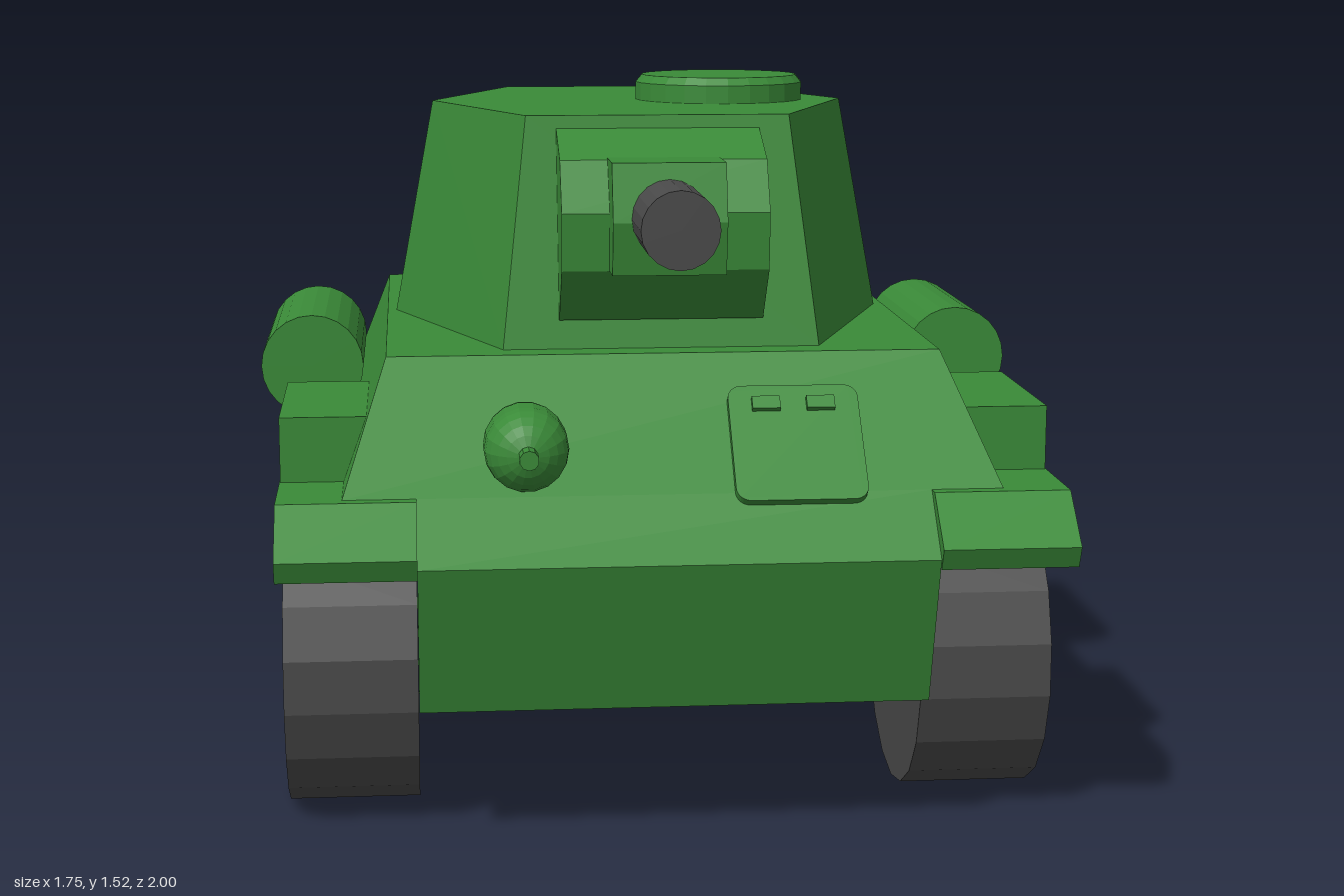
import * as THREE from 'three';
import { ConvexGeometry } from 'three/addons/geometries/ConvexGeometry.js';

const green = new THREE.MeshStandardMaterial({ color: 0x3a8a38, flatShading: true });
const dark = new THREE.MeshStandardMaterial({ color: 0x4a4a4a, flatShading: true });

export function createModel() {
  const model = new THREE.Group();

  const add = (name, geometry, x = 0, y = 0, z = 0, material = green, parent = model) => {
    const mesh = new THREE.Mesh(geometry, material);
    mesh.name = name;
    mesh.position.set(x, y, z);
    parent.add(mesh);
    return mesh;
  };

  // Side profile of [z, y] points, extruded across x and centred
  const sideExtrude = (points, width) => {
    const shape = new THREE.Shape(points.map(([z, y]) => new THREE.Vector2(z, y)));
    return new THREE.ExtrudeGeometry(shape, { depth: width, bevelEnabled: false })
      .translate(0, 0, -width / 2).rotateY(-Math.PI / 2);
  };

  // Tapered solid between two rings of [x, z] points
  const taper = (low, y0, high, y1) => new ConvexGeometry([
    ...low.map(([x, z]) => new THREE.Vector3(x, y0, z)),
    ...high.map(([x, z]) => new THREE.Vector3(x, y1, z)),
  ]);

  const rect = (x, front, back) => [[x, front], [-x, front], [-x, back], [x, back]];
  const hexagon = (xMid, xEnd, front, back) => [
    [xMid, -0.05], [xEnd, front], [-xEnd, front], [-xMid, -0.05], [-xEnd, back], [xEnd, back]];
  const cylinderX = (r, w, n) => new THREE.CylinderGeometry(r, r, w, n).rotateZ(Math.PI / 2);
  const cylinderZ = (r, len, n) => new THREE.CylinderGeometry(r, r, len, n).rotateX(Math.PI / 2);

  // Hull
  add('lowerHull', sideExtrude([[0.88, 0.29], [0.98, 0.61], [0.866, 0.73],
    [-0.89, 0.73], [-0.98, 0.635], [-0.81, 0.29]], 1.044));
  add('upperHull', taper(rect(0.67, 0.866, -0.89), 0.73, rect(0.58, 0.63, -0.675), 0.98));

  // Turret with round roof hatch
  add('turret', taper(hexagon(0.56, 0.335, 0.56, -0.655), 0.98,
    hexagon(0.47, 0.28, 0.46, -0.552), 1.463));
  const hatchProfile = [[0, 0], [0.192, 0], [0.192, 0.043], [0.178, 0.06], [0, 0.06]];
  add('roofHatch', new THREE.LatheGeometry(
    hatchProfile.map(([r, y]) => new THREE.Vector2(r, y)), 24), 0.19, 1.46, -0.06);

  // Gun mount and barrel
  add('gunMantlet', sideExtrude([[0.4, 1.04], [0.552, 1.04], [0.645, 1.155],
    [0.655, 1.275], [0.595, 1.38], [0.46, 1.438], [0.4, 1.438]], 0.432));
  add('gunCollar', sideExtrude([[0.5, 1.155], [0.724, 1.155], [0.746, 1.265],
    [0.712, 1.384], [0.5, 1.384]], 0.234));
  add('gunBarrel', cylinderZ(0.079, 0.3, 20), 0, 1.272, 0.797, dark);

  // Headlamp
  add('headlamp', new THREE.CapsuleGeometry(0.086, 0.06, 6, 18).rotateX(Math.PI / 2), -0.3, 0.823, 0.815);
  add('headlampTip', cylinderZ(0.02, 0.07, 10), -0.3, 0.825, 0.937);

  // Driver hatch lying on the sloped front plate
  const hatch = new THREE.Group();
  hatch.name = 'driverHatch';
  hatch.position.set(0.255, 0.808, 0.79);
  hatch.rotation.x = -0.757;
  model.add(hatch);
  const w = 0.135, h = 0.138, r = 0.03;
  const panel = new THREE.Shape();
  panel.absarc(w - r, h - r, r, 0, Math.PI / 2);
  panel.absarc(r - w, h - r, r, Math.PI / 2, Math.PI);
  panel.absarc(r - w, r - h, r, Math.PI, Math.PI * 1.5);
  panel.absarc(w - r, r - h, r, Math.PI * 1.5, Math.PI * 2);
  add('hatchPanel', new THREE.ExtrudeGeometry(panel,
    { depth: 0.035, bevelEnabled: false, curveSegments: 4 }), 0, 0, -0.015, green, hatch);
  for (const x of [-0.058, 0.055]) {
    add('hatchVisor', new THREE.BoxGeometry(0.058, 0.03, 0.02), x, 0.09, 0.022, green, hatch);
  }

  for (const side of [1, -1]) {
    // Fender with turned-down ends
    add('fender', sideExtrude([[1, 0.635], [0.895, 0.73], [-0.91, 0.73], [-1, 0.64],
      [-0.975, 0.59], [-0.885, 0.675], [0.875, 0.675], [0.98, 0.59]], 0.28), side * 0.662);
    add('toolBox', new THREE.BoxGeometry(0.2, 0.145, 0.43), side * 0.7, 0.793, 0.47);
    add('fuelDrum', cylinderZ(0.118, 0.51, 24), side * 0.757, 0.849, -0.315);

    // Wheels
    for (const z of [0.47, -0.455]) {
      add('wheel', cylinderX(0.324, 0.276, 18).rotateX(Math.PI / 2), side * 0.661, 0.32, z, dark);
    }

    // Grab rail on the sloped rear plate, with rounded ends bent into the hull
    const path = new THREE.CatmullRomCurve3([[0.88, -0.705], [0.925, -0.745], [0.905, -0.78],
      [0.765, -0.915], [0.74, -0.94], [0.7, -0.9]].map(([y, z]) => new THREE.Vector3(0, y, z)),
    false, 'centripetal');
    add('grabRail', new THREE.TubeGeometry(path, 20, 0.026, 10), side * 0.3);
  }
  return model;
}
